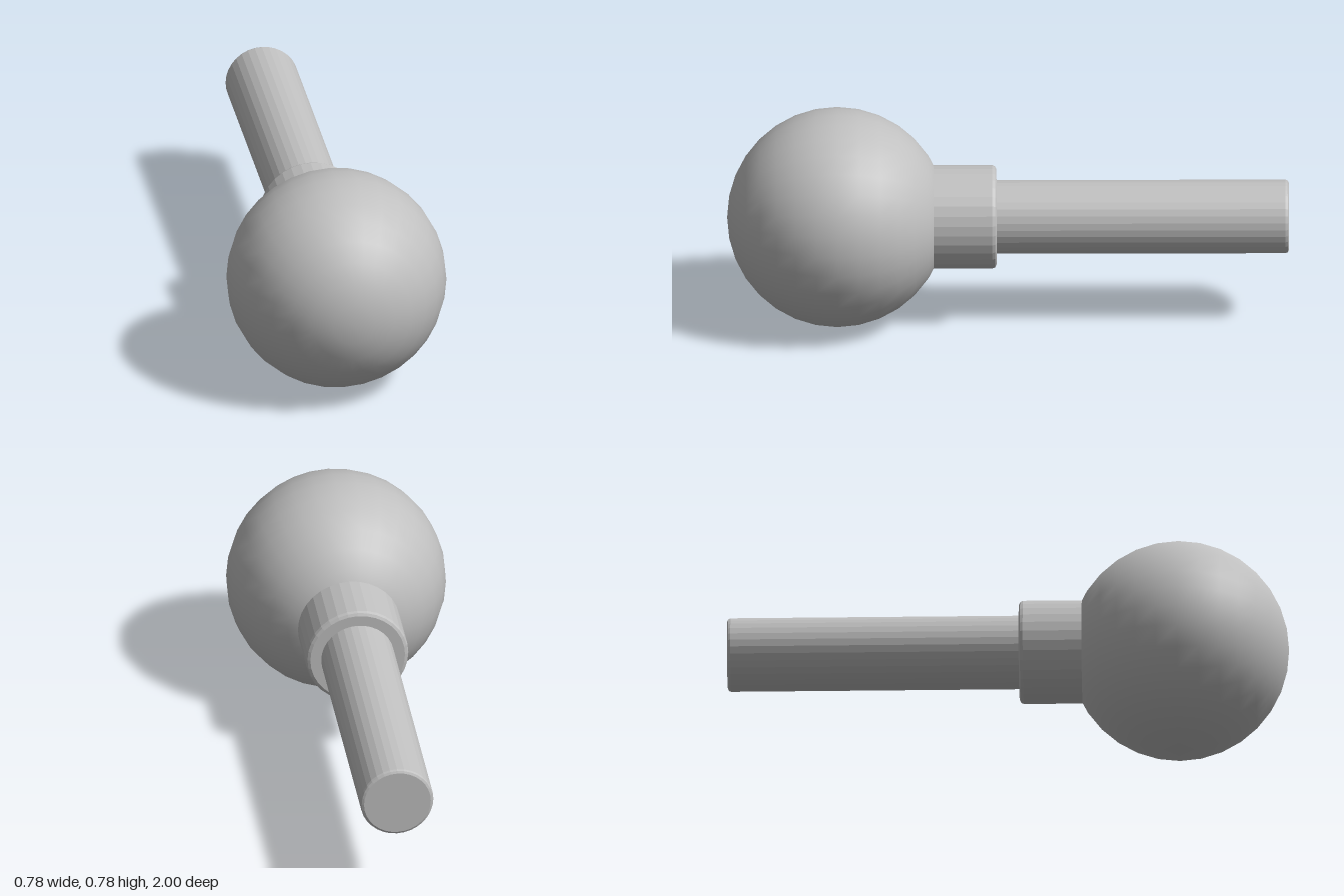
import * as THREE from 'three';

const AXIS_Y = 0.395;

// Turned part: profile of [radius, distance towards the back], faceted sides
function turned(name, profile, material) {
  const points = profile.map(([r, d]) => new THREE.Vector2(r, d));
  const geometry = new THREE.LatheGeometry(points, 32).toNonIndexed();
  geometry.computeVertexNormals();
  geometry.rotateX(-Math.PI / 2);
  const mesh = new THREE.Mesh(geometry, material);
  mesh.name = name;
  mesh.position.y = AXIS_Y;
  return mesh;
}

export function createModel() {
  const group = new THREE.Group();
  group.name = 'ballStud';
  const grey = new THREE.MeshStandardMaterial({ color: 0xc0c0c0 });
  grey.name = 'grey';

  // Smooth ball with its poles along the stem
  const ballGeometry = new THREE.SphereGeometry(0.392, 32, 16);
  ballGeometry.rotateX(Math.PI / 2);
  const ball = new THREE.Mesh(ballGeometry, grey);
  ball.name = 'ball';
  ball.position.set(0, AXIS_Y, 0.608);
  group.add(ball);

  // Collar, bevelled at the back and sunk into the ball
  group.add(turned('collar', [
    [0, -0.29], [0.184, -0.29], [0.184, -0.055], [0.18, -0.045], [0.17, -0.04], [0, -0.04],
  ], grey));

  // Stem with a small bevel at its end
  group.add(turned('stem', [
    [0, -0.06], [0.131, -0.06], [0.131, 0.988], [0.128, 0.996], [0.12, 1], [0, 1],
  ], grey));

  return group;
}
